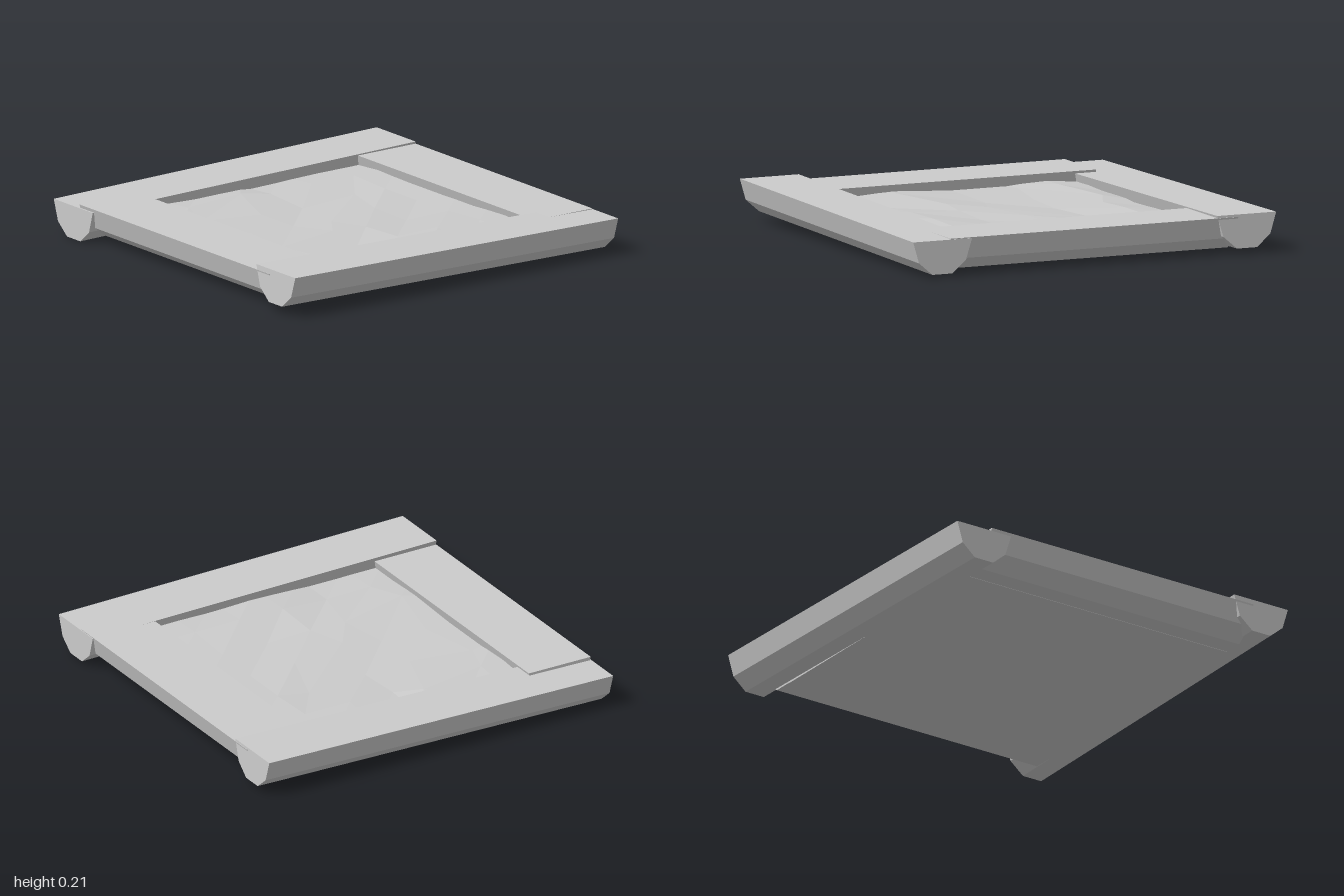
import * as THREE from 'three';

const material = new THREE.MeshStandardMaterial({ color: 0xcccccc, flatShading: true });

// Beam with a flat top and a faceted underside, running along z
function beamGeometry(halfWidth, length) {
  const side = [[halfWidth, 0.188], [halfWidth - 0.033, 0.08], [0.055, 0.017]];
  // counter-clockwise: down the left side, then up the right side
  const outline = [...side.map(([x, y]) => [-x, y]), ...side.slice().reverse()];
  const shape = new THREE.Shape(outline.map(([x, y]) => new THREE.Vector2(x, y)));
  return new THREE.ExtrudeGeometry(shape, { depth: length, bevelEnabled: false }).translate(0, 0, -length / 2);
}

// Uneven ground: a box whose top grid is raised and jittered
function groundGeometry() {
  const xs = [-0.77, -0.52, -0.265, -0.01, 0.24, 0.5, 0.77];
  const zs = [-0.79, -0.527, -0.265, 0, 0.262, 0.525, 0.79];
  // heights in hundredths, one row per z from back to front
  const heights = [
    [13, 13, 12, 12, 12.5, 13, 13],
    [15, 15.5, 15, 14, 15, 15, 15],
    [14, 14, 13.5, 12.5, 13, 14, 14.5],
    [14, 14, 13.5, 14.5, 14.5, 14, 14.5],
    [15.5, 16, 15.5, 15, 14, 14.5, 14.5],
    [14.5, 15, 14.5, 16, 16.5, 16, 15.5],
    [14.5, 14.5, 14.5, 15.5, 14.5, 15, 15],
  ];
  // grid points pushed off their place, keyed by column,row
  const moved = {
    '2,1': [-0.15, -0.59], '1,2': [-0.59, -0.33], '4,2': [0.34, -0.3],
    '3,3': [-0.08, 0.07], '2,4': [-0.2, 0.24], '1,4': [-0.59, 0.34],
  };
  const geometry = new THREE.BoxGeometry(6, 1, 6, 6, 1, 6);
  const p = geometry.attributes.position;
  for (let n = 0; n < p.count; n++) {
    const i = Math.round(p.getX(n) + 3), j = Math.round(p.getZ(n) + 3);
    const top = p.getY(n) > 0;
    const [x, z] = (top && moved[`${i},${j}`]) || [xs[i], zs[j]];
    p.setXYZ(n, x, top ? heights[j][i] / 100 : 0.02, z);
  }
  geometry.computeVertexNormals();
  return geometry;
}

export function createModel() {
  const group = new THREE.Group();
  const add = (name, geometry) => {
    const mesh = new THREE.Mesh(geometry, material);
    mesh.name = name;
    group.add(mesh);
    return mesh;
  };

  // Long beams at front and back, tilted opposite ways
  for (const side of [1, -1]) {
    const beam = add(side > 0 ? 'frontBeam' : 'backBeam', beamGeometry(0.162, 2).rotateY(Math.PI / 2));
    beam.position.set(0, side > 0 ? 0.016 : 0.002, side * 0.838);
    beam.rotation.z = side * -0.015;
  }

  // Level side beams that tuck into the long ones
  for (const side of [1, -1]) {
    const beam = add(side > 0 ? 'leftBeam' : 'rightBeam', beamGeometry(0.18, 1.58));
    beam.position.set(side * 0.82, 0.005, 0);
  }

  add('ground', groundGeometry());
  return group;
}
